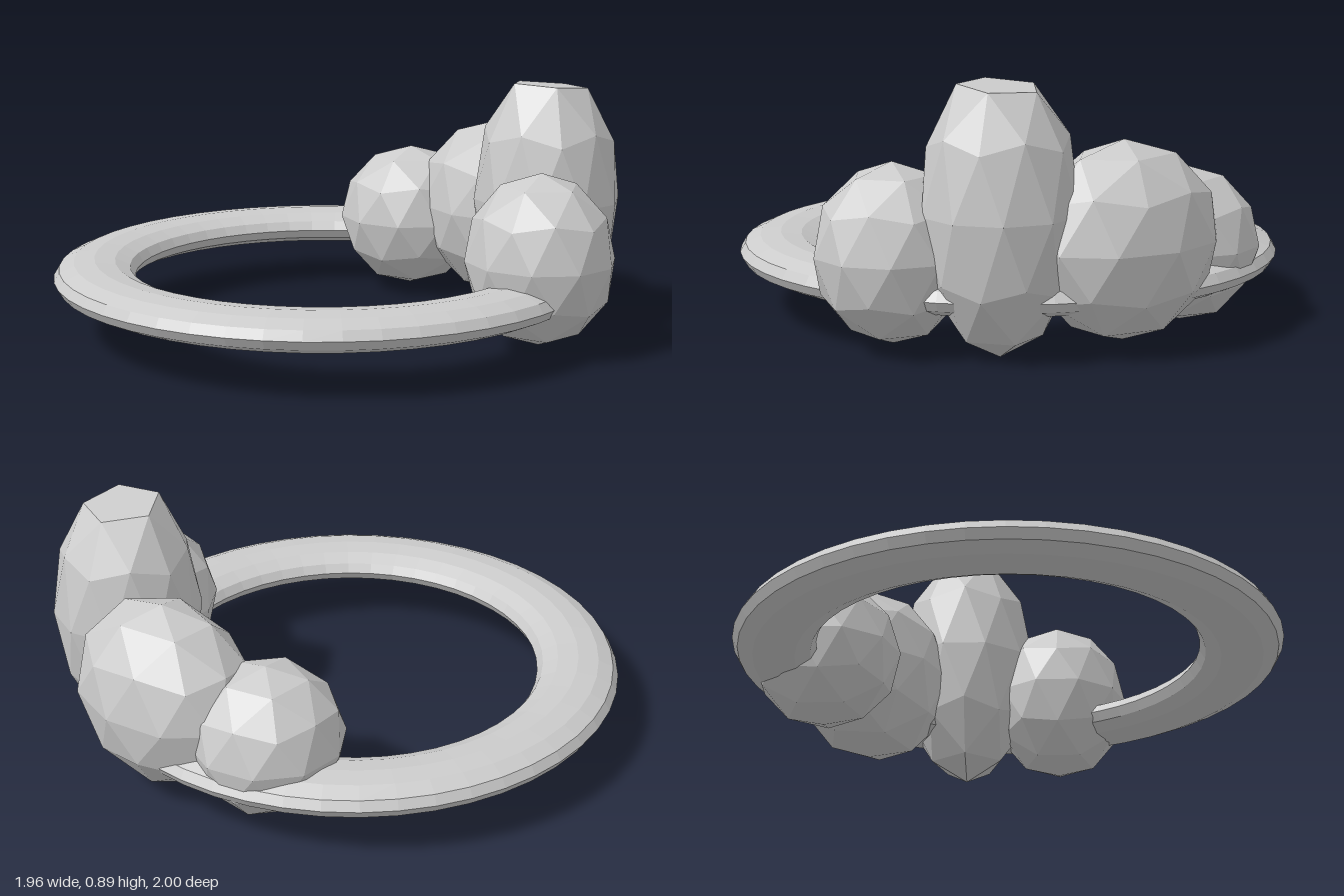
import * as THREE from 'three';

const material = new THREE.MeshStandardMaterial({ color: 0xcccccc, flatShading: true });

// Faceted ball with its poles on the y axis, stretched to the given radii
function makeStone(name, center, radii, flatTop = false) {
  const geo = new THREE.IcosahedronGeometry(1, 1);
  geo.rotateZ(-Math.atan(2 / (1 + Math.sqrt(5))));
  if (flatTop) {
    // Turn the facets and press the top pole down to a slightly tilted cap
    geo.rotateY(Math.PI);
    const p = geo.attributes.position;
    for (let i = 0; i < p.count; i++) {
      if (p.getY(i) > 0.8) {
        if (p.getY(i) > 0.95) p.setXYZ(i, 0, 0.85, 0);
        p.setY(i, 0.853 + 0.05 * p.getZ(i));
      }
    }
  }
  geo.scale(...radii);
  geo.computeVertexNormals();
  const mesh = new THREE.Mesh(geo, material);
  mesh.name = name;
  mesh.position.set(...center);
  return mesh;
}

export function createModel() {
  const group = new THREE.Group();
  group.name = 'ringWithStones';

  // Flattened ring lying level
  const ringGeo = new THREE.TorusGeometry(0.815, 0.145, 12, 48);
  ringGeo.rotateX(Math.PI / 2);
  ringGeo.scale(1, 0.45, 1);
  const ring = new THREE.Mesh(ringGeo, material);
  ring.name = 'ring';
  ring.position.set(-0.02, 0.21, 0.035);
  group.add(ring);

  // Cluster of stones along the back of the ring
  group.add(
    makeStone('smallStone', [-0.25, 0.29, -0.62], [0.27, 0.27, 0.27]),
    makeStone('wideStone', [0.12, 0.363, -0.737], [0.36, 0.332, 0.263]),
    makeStone('tallStone', [0.5, 0.475, -0.57], [0.264, 0.475, 0.261], true),
    makeStone('sideStone', [0.725, 0.328, -0.295], [0.265, 0.3, 0.258])
  );
  return group;
}
